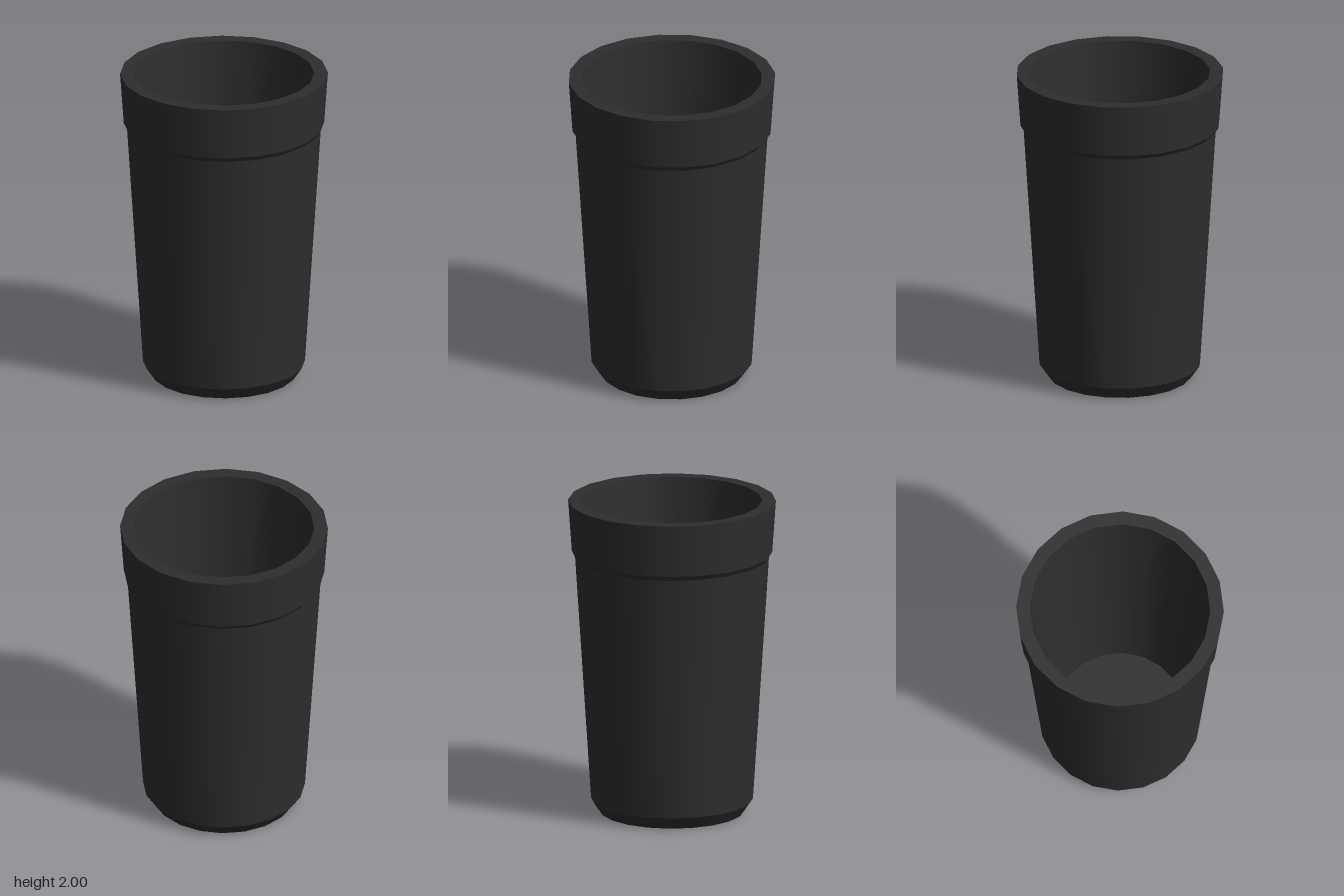
import * as THREE from 'three';

const SIDES = 20;

export function createModel() {
  const model = new THREE.Group();
  model.name = 'tumbler';

  const charcoal = new THREE.MeshStandardMaterial({ color: 0x2e2e2e });
  charcoal.name = 'charcoal';

  // Rings [radius, height] running up the outside, over the rim and down the inside
  const profile = [
    [0, 0], [0.45, 0], [0.505, 0.08], [0.605, 1.64], [0.625, 1.67],
    [0.648, 2], [0.563, 2], [0.408, 0.08], [0, 0.08],
  ].map(([r, y]) => new THREE.Vector2(r, y));

  const names = [
    'base', 'baseBevel', 'outerWall', 'collarLedge',
    'collar', 'rim', 'innerWall', 'innerFloor',
  ];

  // One band per part: smooth around the cup, sharp where bands meet
  names.forEach((name, i) => {
    const band = new THREE.LatheGeometry([profile[i], profile[i + 1]], SIDES);
    const mesh = new THREE.Mesh(band, charcoal);
    mesh.name = name;
    model.add(mesh);
  });

  return model;
}
